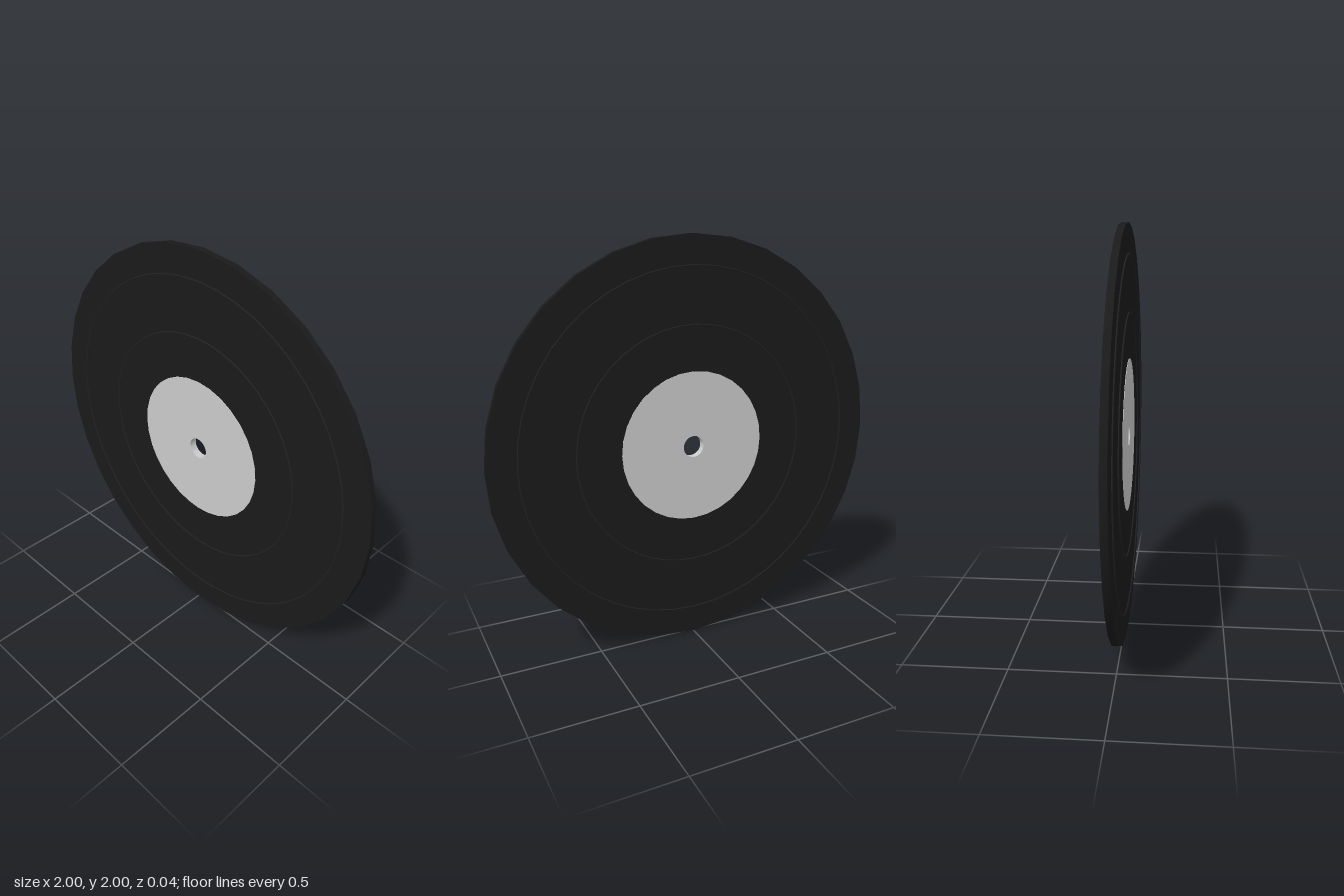
import * as THREE from 'three';
import { toCreasedNormals } from 'three/addons/utils/BufferGeometryUtils.js';

const black = new THREE.MeshStandardMaterial({ color: 0x1a1a1a });
const ringBlack = new THREE.MeshStandardMaterial({ color: 0x222226 });
const grey = new THREE.MeshStandardMaterial({ color: 0xcccccc });

// Flat disc with a round hole, facing z
function washer(name, inner, outer, half, material) {
  const profile = [[inner, -half], [outer, -half], [outer, half], [inner, half], [inner, -half]]
    .map(([r, z]) => new THREE.Vector2(r, z));
  const geometry = new THREE.LatheGeometry(profile, 32).rotateX(Math.PI / 2);
  const mesh = new THREE.Mesh(toCreasedNormals(geometry, 0.5), material);
  mesh.name = name;
  return mesh;
}

export function createModel() {
  const record = new THREE.Group();
  record.name = 'record';
  record.position.y = 1;

  // Playing disc, and the label hub with its spindle hole
  record.add(washer('disc', 0.3, 1, 0.016, black));
  record.add(washer('label', 0.053, 0.37, 0.018, grey));

  // Fine raised groove rings on both faces
  for (const side of [1, -1]) {
    for (const [name, radius] of [['outerGroove', 0.86], ['innerGroove', 0.59]]) {
      const ring = new THREE.Mesh(new THREE.TorusGeometry(radius, 0.004, 6, 48), ringBlack);
      ring.name = name + (side > 0 ? 'Front' : 'Back');
      ring.position.z = side * 0.0185;
      record.add(ring);
    }
  }

  const model = new THREE.Group();
  model.add(record);
  return model;
}
